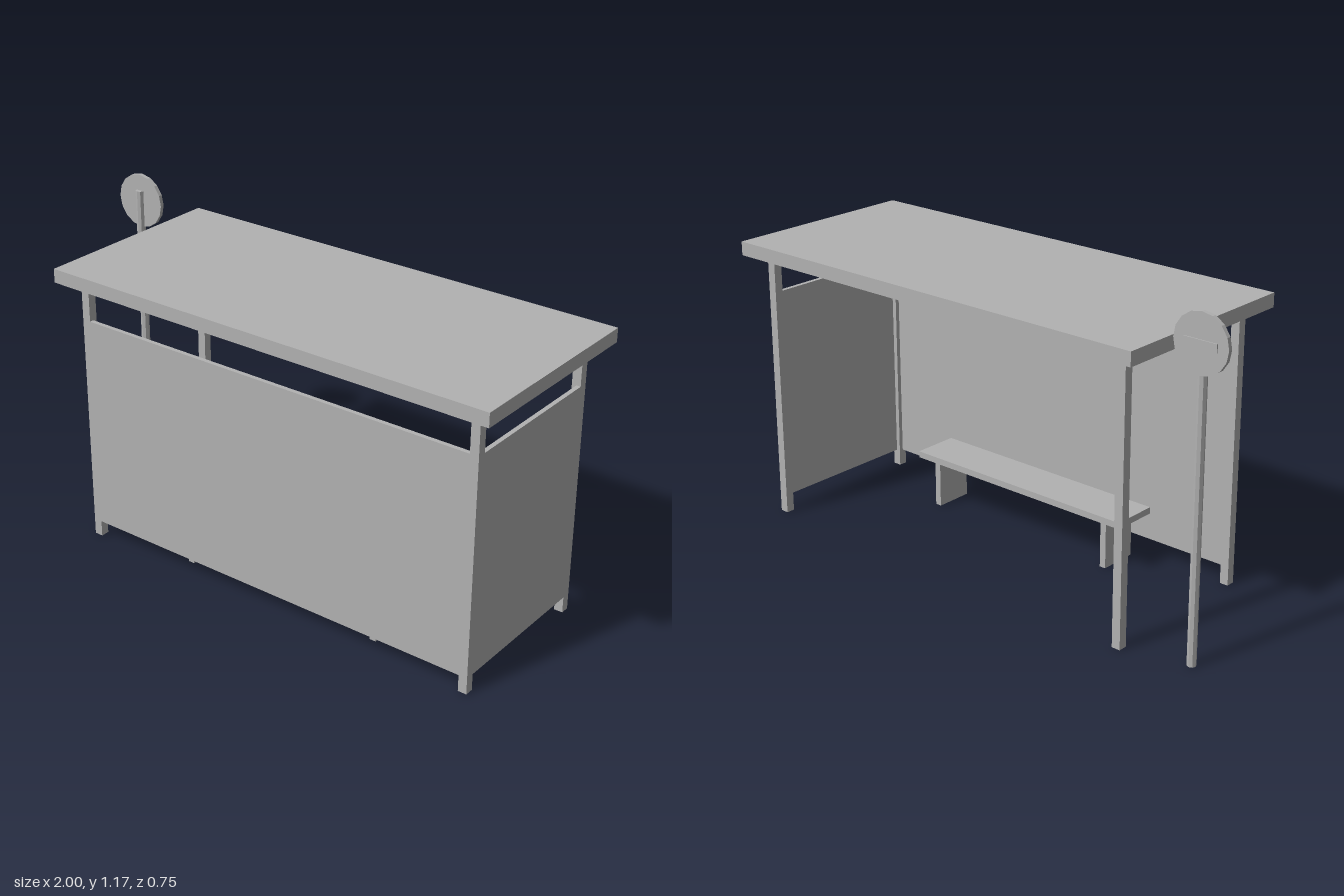
import * as THREE from 'three';

export function createModel() {
  const model = new THREE.Group();
  model.name = 'busShelter';
  const grey = new THREE.MeshStandardMaterial({ color: 0xb2b2b2, flatShading: true });
  grey.name = 'plain grey';

  const add = (name, geometry, parent = model) => {
    const mesh = new THREE.Mesh(geometry, grey);
    mesh.name = name;
    parent.add(mesh);
    return mesh;
  };
  // Box given by its lower and upper limits on each axis
  const box = (name, [x0, x1], [y0, y1], [z0, z1], parent) =>
    add(name, new THREE.BoxGeometry(x1 - x0, y1 - y0, z1 - z0), parent)
      .position.set((x0 + x1) / 2, (y0 + y1) / 2, (z0 + z1) / 2);

  const cx = 0.13;      // middle of the shelter
  const outX = 0.803;   // outer faces of the posts
  const outZ = 0.312;
  const post = 0.032;   // post width
  const wall = 0.016;   // panel thickness

  // Roof slab
  box('roof', [cx - 0.868, cx + 0.868], [0.99, 1.04], [-0.373, 0.373]);

  // Corner posts
  for (const sx of [-1, 1]) {
    for (const sz of [-1, 1]) {
      const x = cx + sx * (outX - post / 2), z = sz * (outZ - post / 2);
      box('cornerPost', [x - post / 2, x + post / 2], [0, 0.99], [z - post / 2, z + post / 2]);
    }
  }

  // Panels between the posts, flush with their outer faces
  box('longPanel', [cx - outX + post, cx + outX - post], [0.06, 0.85], [outZ - wall, outZ]);
  box('sidePanel', [cx + outX - wall, cx + outX], [0.06, 0.85], [-outZ + post, outZ - post]);

  // Bench on two slab legs
  const bench = new THREE.Group();
  bench.name = 'bench';
  model.add(bench);
  box('benchSeat', [cx - 0.476, cx + 0.476], [0.176, 0.2], [0.092, 0.265], bench);
  for (const s of [-1, 1]) {
    const x = cx + s * 0.395;
    box('benchLeg', [x - 0.012, x + 0.012], [0, 0.176], [0.107, 0.25], bench);
  }

  // Stop sign: pole, round plate and a thin strip on its outer face
  const sign = new THREE.Group();
  sign.name = 'stopSign';
  model.add(sign);
  add('signPole', new THREE.CylinderGeometry(0.016, 0.016, 1.11, 8), sign)
    .position.set(-0.9, 0.555, -0.237);
  const plate = add('signPlate', new THREE.CylinderGeometry(0.1, 0.1, 0.015, 16), sign);
  plate.rotation.x = Math.PI / 2;
  plate.position.set(-0.9, 1.07, -0.2455);
  box('signStrip', [-0.96, -0.84], [1.055, 1.083], [-0.257, -0.252], sign);

  return model;
}
